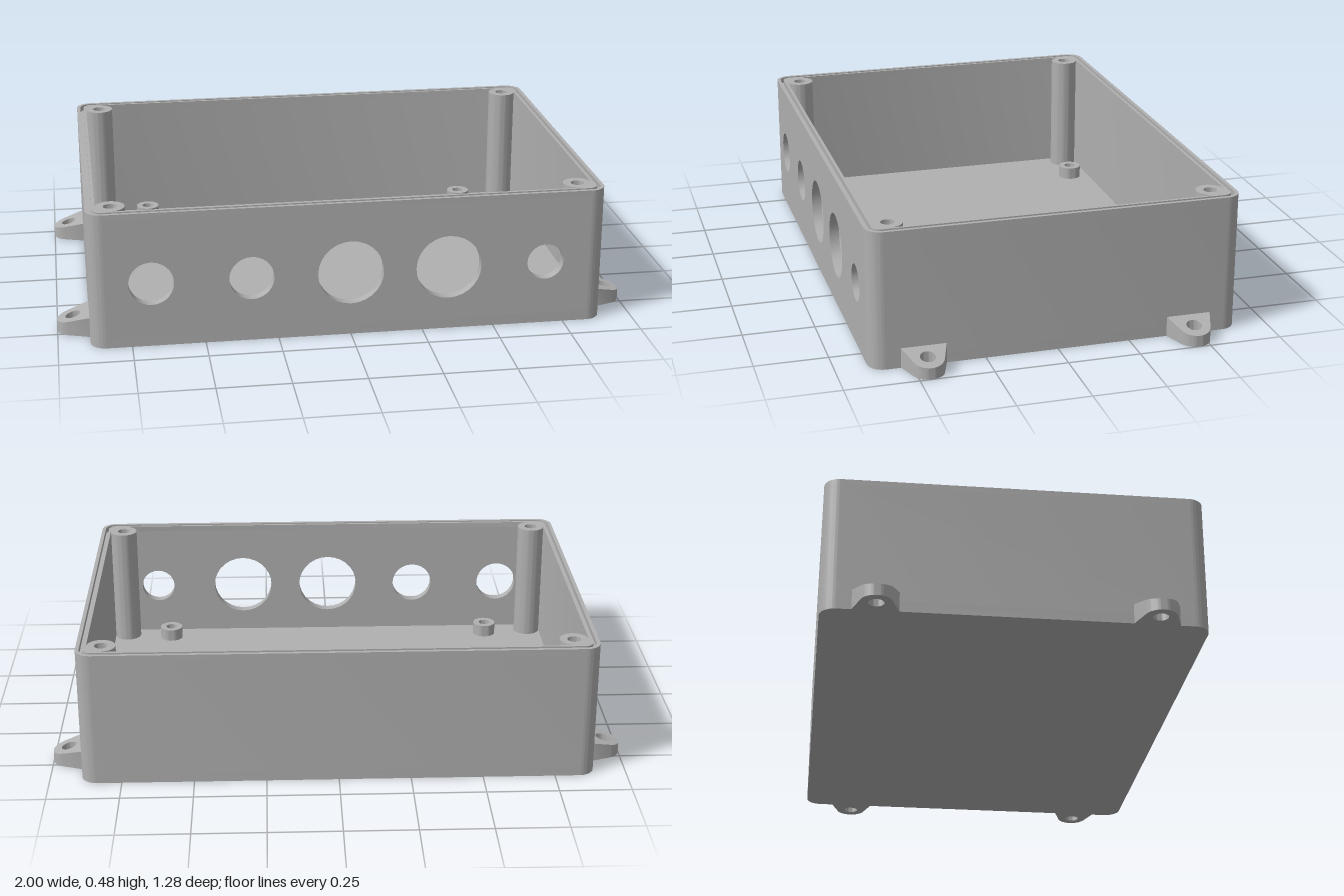
import * as THREE from 'three';
import { toCreasedNormals } from 'three/addons/utils/BufferGeometryUtils.js';

const HX = 0.89, HZ = 0.64, H = 0.48, R = 0.055; // outer half sizes, height, corner radius
const WALL = 0.035, RIM = 0.46;                  // wall thickness, bottom of the rim groove
const CX = HX - R, CZ = HZ - R;                  // centres of the corner rounding
const Q = Math.PI / 2;

export function createModel() {
  const model = new THREE.Group();
  model.name = 'enclosure';
  const grey = new THREE.MeshStandardMaterial({ color: 0xb0b0b0 });
  grey.name = 'grey plastic';

  const add = (name, geometry, x = 0, z = 0, turn = 0) => {
    const mesh = new THREE.Mesh(geometry, grey);
    mesh.name = name;
    mesh.position.set(x, 0, z);
    mesh.rotation.y = turn;
    model.add(mesh);
  };
  const extrude = (shape, depth) =>
    new THREE.ExtrudeGeometry(shape, { depth, bevelEnabled: false, curveSegments: 14 });
  // Plan shape raised from y0 to y1
  const raise = (shape, y0, y1) =>
    toCreasedNormals(extrude(shape, y1 - y0).rotateX(-Q).translate(0, y0, 0), 0.6);
  const hole = (x, y, r) => new THREE.Path().absarc(x, y, r, 0, Math.PI * 2, true);

  // Rounded rectangle of the box plan, inset by i
  const plan = (i, PathType = THREE.Shape) => {
    const p = new PathType(), r = R - i;
    p.absarc(CX, -CZ, r, -Q, 0);
    p.absarc(CX, CZ, r, 0, Q);
    p.absarc(-CX, CZ, r, Q, 2 * Q);
    p.absarc(-CX, -CZ, r, 2 * Q, 3 * Q);
    p.closePath();
    return p;
  };
  const ring = (outer, inner) => {
    const s = plan(outer);
    s.holes.push(plan(inner, THREE.Path));
    return s;
  };

  // Floor
  add('floor', raise(plan(0), 0, WALL));

  // Side and back walls with all four corners
  const walls = new THREE.Shape();
  const corners = [[CX, -CZ, -Q], [CX, CZ, 0], [-CX, CZ, Q], [-CX, -CZ, 2 * Q]];
  corners.forEach(([x, y, a]) => walls.absarc(x, y, R, a, a + Q));
  corners.slice().reverse().forEach(([x, y, a]) => walls.absarc(x, y, R - WALL, a + Q, a, true));
  walls.closePath();
  add('sideAndBackWalls', raise(walls, WALL, RIM));

  // Front wall with its cable holes
  const front = new THREE.Shape();
  front.moveTo(-CX, WALL).lineTo(CX, WALL).lineTo(CX, RIM).lineTo(-CX, RIM).closePath();
  [[-0.68, 0.077], [-0.34, 0.077], [0, 0.114], [0.34, 0.114], [0.68, 0.064]]
    .forEach(([x, r]) => front.holes.push(hole(x, 0.227, r)));
  add('frontWall', toCreasedNormals(extrude(front, WALL).translate(0, 0, HZ - WALL), 0.6));

  // Two lips with the seal groove between them
  add('outerLip', raise(ring(0, 0.013), RIM, H));
  add('innerLip', raise(ring(0.025, WALL), RIM, H));

  // Corner screw post: round towards the inside, square into the corner
  const post = new THREE.Shape();
  post.moveTo(0.05, 0).lineTo(0.05, 0.05).lineTo(0, 0.05);
  post.absarc(0, 0, 0.05, Q, 4 * Q);
  post.holes.push(hole(0, 0, 0.023));
  const postGeometry = raise(post, WALL, H);

  // Short board standoff
  const standoff = new THREE.Shape().absarc(0, 0, 0.043, 0, 4 * Q);
  standoff.holes.push(hole(0, 0, 0.021));
  const standoffGeometry = raise(standoff, WALL, 0.08);

  // Mounting ear with a rounded tip and sloping top
  const ear = new THREE.Shape();
  ear.moveTo(HX - 0.01, -0.077).lineTo(HX, -0.077);
  ear.absarc(0.945, 0, 0.055, -1.15, 1.15);
  ear.lineTo(HX, 0.077).lineTo(HX - 0.01, 0.077).closePath();
  ear.holes.push(hole(0.945, 0, 0.026));
  let earGeometry = extrude(ear, 0.07).rotateX(-Q);
  const pos = earGeometry.attributes.position;
  for (let i = 0; i < pos.count; i++) {
    if (pos.getY(i) > 0.03) pos.setY(i, 0.07 - 0.03 * (pos.getX(i) - HX) / 0.11);
  }
  earGeometry = toCreasedNormals(earGeometry, 0.5);

  for (const sx of [1, -1]) {
    for (const sz of [1, -1]) {
      const turn = sx > 0 ? (sz > 0 ? -Q : 0) : (sz > 0 ? 2 * Q : Q);
      add('cornerPost', postGeometry, sx * 0.805, sz * 0.555, turn);
      add('standoff', standoffGeometry, sx * 0.63, sz * 0.53);
      add('mountingEar', earGeometry, 0, sz * 0.46, sx > 0 ? 0 : Math.PI);
    }
  }
  return model;
}
